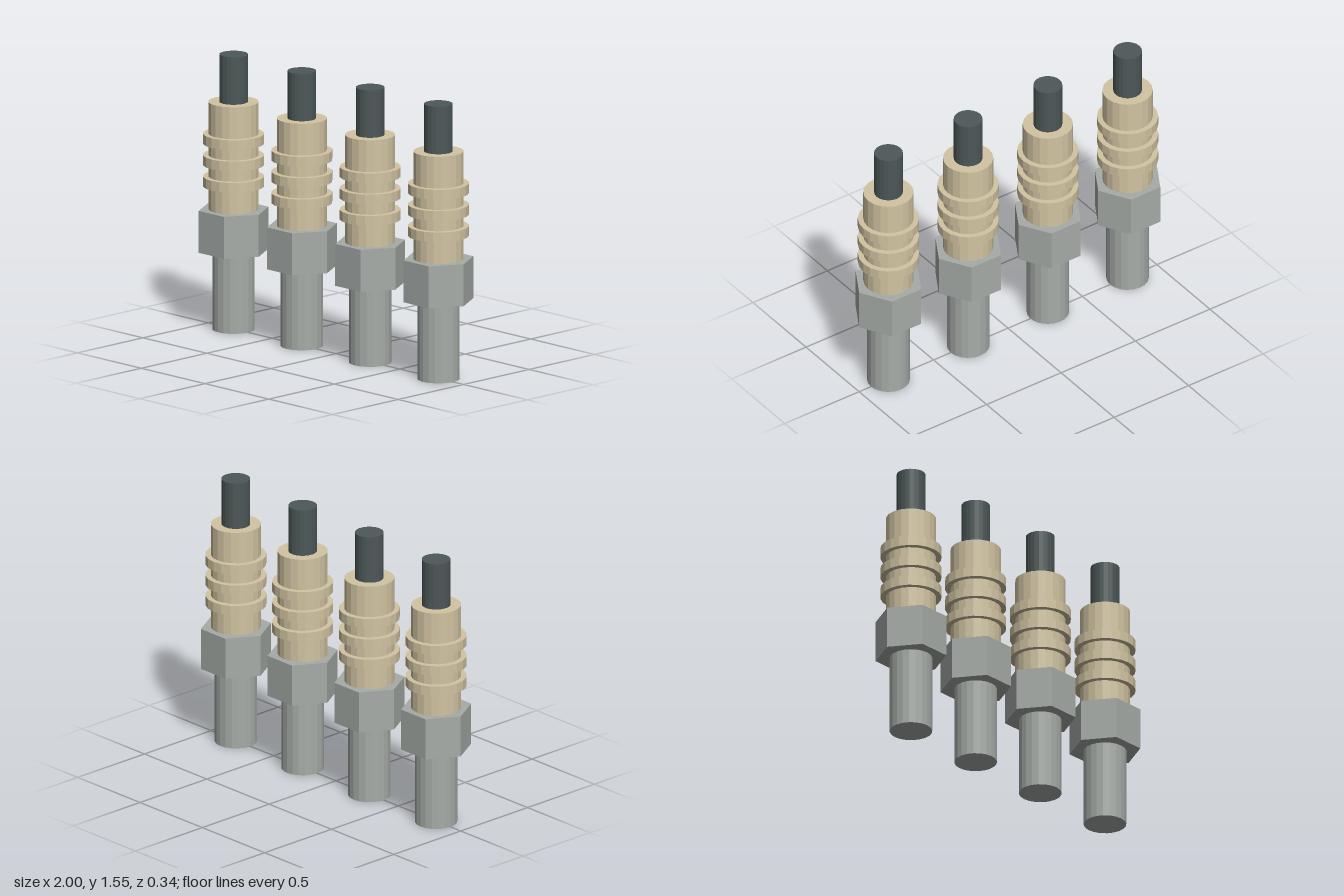
import * as THREE from 'three';

const steel = new THREE.MeshStandardMaterial({ name: 'steel', color: 0xa6aca8 });
const ceramic = new THREE.MeshStandardMaterial({ name: 'ceramic', color: 0xd2c4a2 });
const darkMetal = new THREE.MeshStandardMaterial({ name: 'darkMetal', color: 0x4d5858 });
for (const m of [steel, ceramic, darkMetal]) m.flatShading = true;

// Upright prism between two heights, with a corner on the x axis
function prism(name, radius, y0, y1, sides, material) {
  const geometry = new THREE.CylinderGeometry(radius, radius, y1 - y0, sides, 1, false, Math.PI / 2);
  const mesh = new THREE.Mesh(geometry, material);
  mesh.name = name;
  mesh.position.y = (y0 + y1) / 2;
  return mesh;
}

function createPlug() {
  const plug = new THREE.Group();
  plug.name = 'plug';
  // Metal shank and hexagonal nut
  plug.add(prism('shank', 0.117, 0, 0.44, 20, steel));
  plug.add(prism('hexNut', 0.197, 0.44, 0.676, 6, steel));
  // Ceramic insulator with three ribs
  plug.add(prism('insulator', 0.138, 0.676, 1.28, 20, ceramic));
  for (let i = 0; i < 3; i++) {
    const y = 0.806 + i * 0.12;
    plug.add(prism('insulatorRib', 0.168, y, y + 0.055, 20, ceramic));
  }
  // Terminal post
  plug.add(prism('terminal', 0.079, 1.28, 1.547, 20, darkMetal));
  return plug;
}

export function createModel() {
  const model = new THREE.Group();
  model.name = 'plugRow';
  // Four plugs in an even row
  for (let i = 0; i < 4; i++) {
    const plug = createPlug();
    plug.position.x = (i - 1.5) * 0.5353;
    model.add(plug);
  }
  return model;
}
